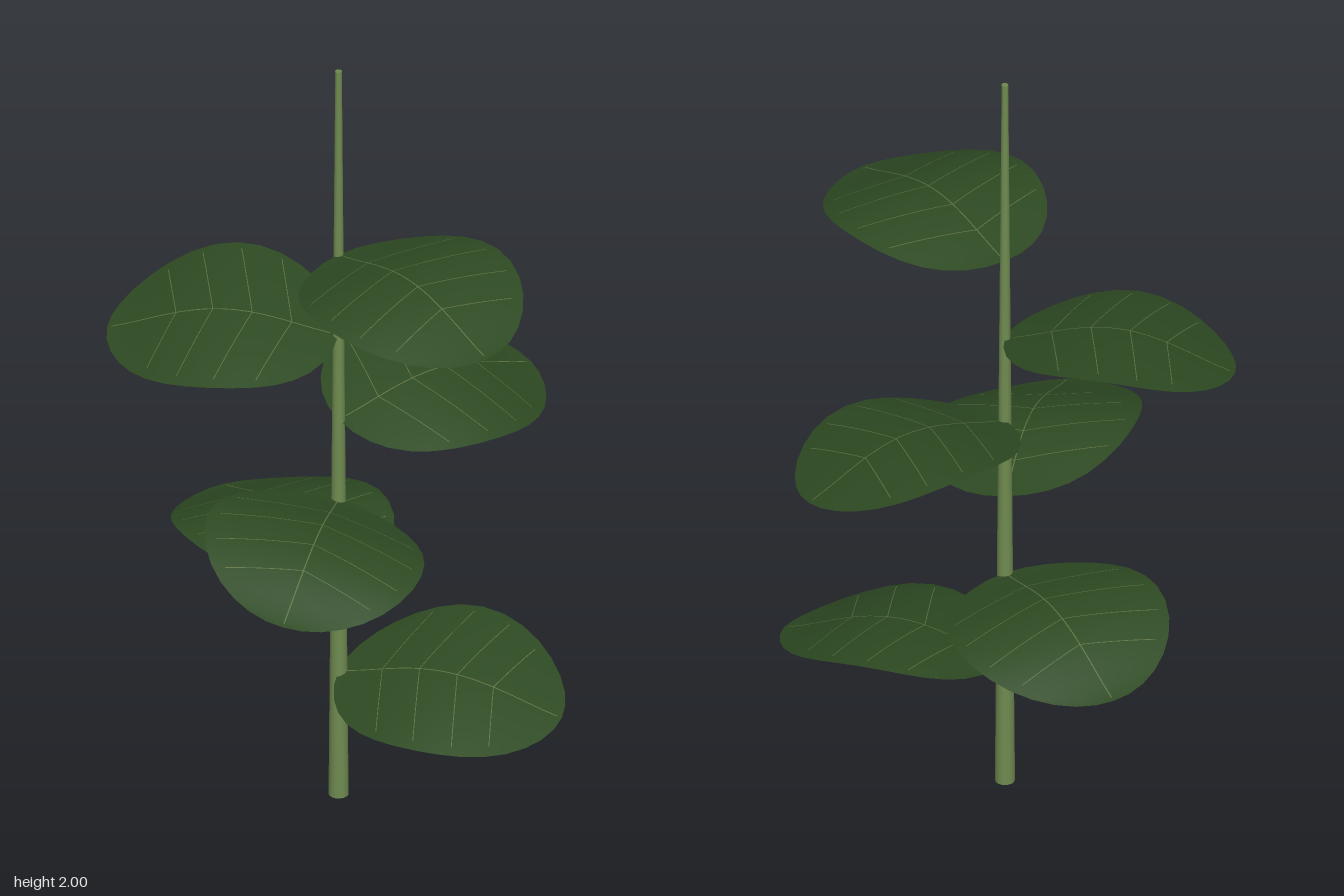
import * as THREE from 'three';

const LENGTH = 0.555, HALF = 0.265;

// Height of the leaf surface: arched along its length, gently domed across
function leafHeight(x, z) {
  const t = Math.min(Math.max(x / LENGTH, 0), 1);
  return 0.068 * Math.sin(Math.PI * t) ** 1.3 - 0.03 * t - 0.018 * (z / HALF) ** 2;
}

// Half width of the nearly round outline, slightly pointed at the tip
function halfWidth(t) {
  return HALF * 2 * Math.sqrt(Math.max(t * (1 - t), 0)) * (1 - 0.15 * t ** 6);
}

function bladeGeometry() {
  const geo = new THREE.PlaneGeometry(1, 1, 16, 12).rotateX(-Math.PI / 2);
  const p = geo.attributes.position;
  for (let i = 0; i < p.count; i++) {
    const t = (1 - Math.cos(Math.PI * (p.getX(i) + 0.5))) / 2;
    const x = t * LENGTH, z = 2 * p.getZ(i) * halfWidth(t);
    p.setXYZ(i, x, leafHeight(x, z), z);
  }
  geo.computeVertexNormals();
  return geo;
}

// Thin strip lying on the leaf between two points
function veinGeometry(x0, z0, x1, z1, width) {
  const geo = new THREE.PlaneGeometry(1, 1, 16, 1).rotateX(-Math.PI / 2);
  const p = geo.attributes.position;
  const dx = x1 - x0, dz = z1 - z0, len = Math.hypot(dx, dz);
  for (let i = 0; i < p.count; i++) {
    const k = p.getX(i) + 0.5, w = p.getZ(i) * width;
    const x = x0 + dx * k - (dz / len) * w;
    const z = z0 + dz * k + (dx / len) * w;
    p.setXYZ(i, x, leafHeight(x, z) + 0.0015, z);
  }
  geo.computeVertexNormals();
  return geo;
}

export function createModel() {
  const model = new THREE.Group();
  model.name = 'plant';
  const stemMat = new THREE.MeshStandardMaterial({ color: 0x6f8a50 });
  stemMat.name = 'stem green';
  const leafMat = new THREE.MeshStandardMaterial({ color: 0x2d4a22, side: THREE.DoubleSide });
  leafMat.name = 'leaf green';
  const veinMat = new THREE.MeshStandardMaterial({ color: 0x5c7040 });
  veinMat.name = 'vein green';

  const plant = new THREE.Group();
  plant.name = 'stalk';
  plant.position.set(-0.005, 0, -0.045);
  model.add(plant);

  // Tapering stem
  const stem = new THREE.Mesh(new THREE.CylinderGeometry(0.008, 0.024, 2, 16), stemMat);
  stem.name = 'stem';
  stem.position.y = 1;
  plant.add(stem);

  // Shared leaf parts: blade, midrib and paired side veins
  const blade = bladeGeometry();
  const veins = [veinGeometry(0.02, 0, LENGTH * 0.98, 0, 0.003)];
  for (const t of [0.2, 0.37, 0.54, 0.7]) {
    for (const side of [-1, 1]) {
      const reach = halfWidth(Math.min(t + 0.11, 0.85)) * 0.9;
      veins.push(veinGeometry(t * LENGTH, 0, t * LENGTH + reach * 0.25, side * reach, 0.002));
    }
  }

  // Leaves spiral up the stem, each rolled a little to one side
  const rolls = [11, 3, -11, 10, -10, 2];
  const heights = [0.34, 0.595, 0.815, 1.035, 1.27, 1.492];
  rolls.forEach((roll, i) => {
    const leaf = new THREE.Group();
    leaf.name = `leaf${i + 1}`;
    leaf.position.y = heights[i];
    leaf.rotation.set(
      THREE.MathUtils.degToRad(roll),
      THREE.MathUtils.degToRad(137.5 * i - 2),
      0, 'YXZ');
    const bladeMesh = new THREE.Mesh(blade, leafMat);
    bladeMesh.name = 'leafBlade';
    leaf.add(bladeMesh);
    veins.forEach((geo, k) => {
      const vein = new THREE.Mesh(geo, veinMat);
      vein.name = k ? 'sideVein' : 'midrib';
      leaf.add(vein);
    });
    plant.add(leaf);
  });

  return model;
}
